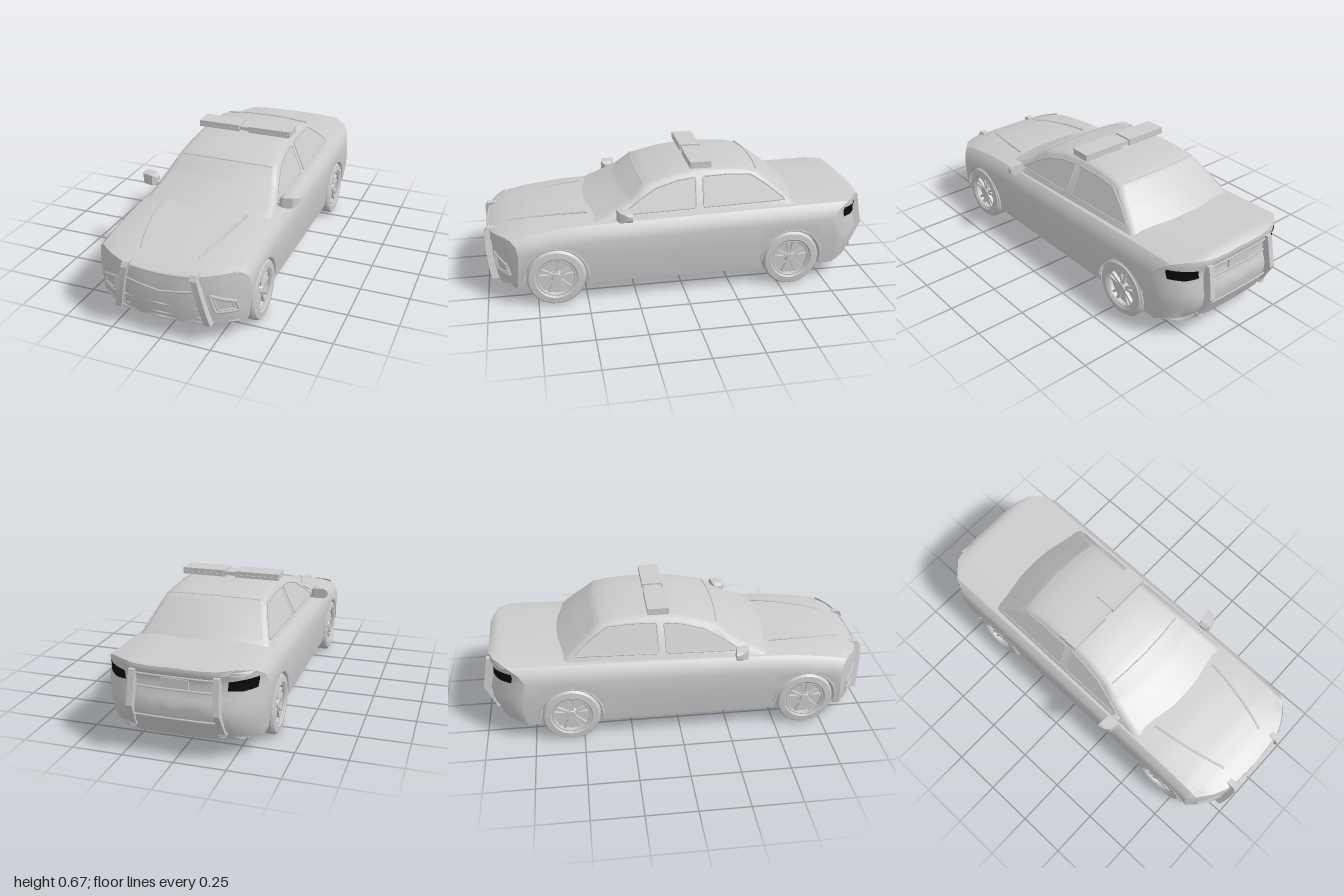
import * as THREE from 'three';
import { toCreasedNormals } from 'three/addons/utils/BufferGeometryUtils.js';

const grey = new THREE.MeshStandardMaterial({ color: 0xcccccc });
const sheetGrey = new THREE.MeshStandardMaterial({ color: 0xcccccc, side: THREE.DoubleSide });
const pale = new THREE.MeshStandardMaterial({ color: 0xf0f0f0, side: THREE.DoubleSide });
const black = new THREE.MeshStandardMaterial({ color: 0x0a0a0a, side: THREE.DoubleSide });

const clamp = (v) => Math.min(1, Math.max(0, v));
// Piecewise linear function through [input, output] pairs
const table = (pts) => (v) => {
  let i = 0;
  while (i < pts.length - 2 && v > pts[i + 1][0]) i++;
  const [a, fa] = pts[i], [b, fb] = pts[i + 1];
  return fa + (fb - fa) * clamp((v - a) / (b - a));
};

// Body profiles: deck height, side width, end faces, roof line
const deckY = table([[-0.975, 0.425], [-0.95, 0.45], [-0.93, 0.458], [-0.6, 0.452], [0.3, 0.432], [0.46, 0.43],
  [0.6, 0.422], [0.78, 0.4], [0.88, 0.378], [0.945, 0.357], [0.985, 0.335]]);
const sideX = table([[0.1, 0.366], [0.2, 0.38], [0.3, 0.385]]);
const tailZ = table([[0.1, -0.92], [0.2, -0.965], [0.27, -0.972], [0.32, -0.953], [0.38, -0.95], [0.42, -0.965], [0.46, -0.96]]);
const frontZ = (x, y) => 0.985 - 0.15 * Math.abs(x / 0.385) ** 3 - 0.01 * ((y - 0.25) / 0.15) ** 2;
const rearZ = (x, y) => tailZ(y) + 0.17 * Math.abs(x / 0.385) ** 5;
const roofY = table([[-0.64, 0.43], [-0.6, 0.465], [-0.52, 0.53], [-0.42, 0.603], [-0.35, 0.62], [-0.25, 0.63],
  [-0.1, 0.634], [0.035, 0.617], [0.205, 0.575], [0.31, 0.505], [0.4, 0.462], [0.5, 0.42]]);
const cabinX = (y) => 0.33 - (y - 0.42) * 0.43;
const cabinZ = (x, z) => z - 0.05 * (x / 0.33) ** 2 * (clamp((z - 0.1) / 0.2) - clamp((-z - 0.3) / 0.2));

const wheelZ = [0.655, -0.56], wheelY = 0.147, archR = 0.158;
const archY = (z) => {
  for (const w of wheelZ) {
    const d = Math.abs(z - w);
    if (d <= archR * 1.0001) return wheelY + Math.sqrt(Math.max(0, archR ** 2 - d ** 2));
  }
  return 0.1;
};

// Skin over closed rings of points, both ends capped
function loft(rings, crease = 0.6) {
  const centre = (r) => r.map(() => [0, 1, 2].map((k) => r.reduce((s, p) => s + p[k], 0) / r.length));
  const all = [centre(rings[0]), ...rings, centre(rings[rings.length - 1])];
  const pos = [], v = (p) => new THREE.Vector3(...p);
  const tri = (a, b, c) => {
    const area = v(b).sub(v(a)).cross(v(c).sub(v(a))).length();
    if (area > 1e-9) pos.push(...a, ...b, ...c);
  };
  for (let i = 0; i < all.length - 1; i++) {
    const n = all[i].length;
    for (let j = 0; j < n; j++) {
      const k = (j + 1) % n;
      tri(all[i][j], all[i][k], all[i + 1][k]);
      tri(all[i][j], all[i + 1][k], all[i + 1][j]);
    }
  }
  const g = new THREE.BufferGeometry();
  g.setAttribute('position', new THREE.Float32BufferAttribute(pos, 3));
  return toCreasedNormals(g, crease);
}
const mirrorRings = (rings) => rings.map((r) => r.map(([x, y, z]) => [-x, y, z]).reverse());
const fullRing = (h) => [...h, ...h.slice(1, -1).reverse().map(([x, y, z]) => [-x, y, z])];

// Thin ruled sheet between two outlines, laid on a surface by place(a, b)
function sheet(lower, upper, place, n = 8) {
  const cols = (lower.length - 1) * n, g = new THREE.PlaneGeometry(1, 1, cols, n), p = g.attributes.position;
  const at = (l, c) => {
    const i = Math.min(Math.floor(c / n), l.length - 2), f = c / n - i;
    return [0, 1].map((k) => l[i][k] + (l[i + 1][k] - l[i][k]) * f);
  };
  for (let r = 0; r <= n; r++) for (let c = 0; c <= cols; c++) {
    const a = at(lower, c), b = at(upper, c), t = 1 - r / n;
    p.setXYZ(r * (cols + 1) + c, ...place(a[0] + (b[0] - a[0]) * t, a[1] + (b[1] - a[1]) * t));
  }
  g.computeVertexNormals();
  return g;
}
// Thin trim strip along straight runs
function strip(pts, r, closed = false) {
  const c = new THREE.CatmullRomCurve3(pts.map((p) => new THREE.Vector3(...p)), closed, 'catmullrom', 0);
  return new THREE.TubeGeometry(c, pts.length * 6, r, 5, closed);
}

// Main body sections, with wheel wells cut into the lower sides
function bodyRing(z) {
  const ya = archY(z);
  const half = (t) => [[0, 0.1], [0.1, 0.1], [0.2, 0.1], [0.29, 0.1], [0.29, ya],
    ...[0, 0.33, 0.66, 1].map((f) => { const y = ya + (t - 0.1 - ya) * f; return [sideX(y), y]; }),
    [0.374, t - 0.055], [0.345, t - 0.024], [0.27, t - 0.008], [0.2, t - 0.003], [0.14, t], [0.07, t], [0, t + 0.002]];
  const bend = (x, y) => {
    if (z > 0.815) return 0.815 + (z - 0.815) / 0.17 * (frontZ(x, y) - 0.815);
    if (z < -0.72) return -0.72 + (z + 0.72) / -0.255 * (rearZ(x, y) + 0.72);
    return z;
  };
  return fullRing(half(0).map((_, i) => {
    let zz = z, p;
    for (let k = 0; k < 8; k++) { p = half(deckY(zz))[i]; zz = bend(p[0], p[1]); }
    return [p[0], p[1], zz];
  }));
}
function bodyGeometry() {
  const arch = [-1.0005, -1, -0.97, -0.88, -0.72, -0.5, -0.25, 0, 0.25, 0.5, 0.72, 0.88, 0.97, 1, 1.0005];
  const zs = [-0.975, -0.955, -0.93, -0.89, -0.84, -0.78, ...arch.map((a) => wheelZ[1] + a * archR), -0.2, 0.1, 0.35,
    ...arch.map((a) => wheelZ[0] + a * archR), 0.83, 0.86, 0.89, 0.92, 0.945, 0.965, 0.985];
  const rings = zs.map(bodyRing), ks = [0.94, 0.88, 0.8, 0.7, 0.6, 0.45, 0.3, 0.15, 0];
  const cap = (ring, f) => ks.map((k) => ring.map(([x, y]) => {
    const a = x * k, b = 0.24 + (y - 0.24) * k;
    return [a, b, f(a, b)];
  }));
  return loft([...cap(rings[0], rearZ).reverse(), ...rings, ...cap(rings[rings.length - 1], frontZ)]);
}
function cabinRing(z) {
  const r = roofY(z), ye = r - 0.022, xe = cabinX(ye), b = Math.min(deckY(z) - 0.05, ye - 0.01);
  const h = [[0, b], [cabinX(b), b], [xe, ye], [xe - 0.012, r - 0.013], [xe - 0.03, r - 0.008], [0.12, r], [0, r + 0.002]];
  return fullRing(h.map(([x, y]) => [x, y, cabinZ(x, z)]));
}

// Wheel facing +x: tyre, recessed rim, five split spokes, hub
function makeWheel() {
  const w = new THREE.Group();
  const prof = [[0, -0.045], [0.135, -0.045], [0.147, -0.032], [0.147, 0.03], [0.138, 0.042], [0.108, 0.045],
    [0.1, 0.04], [0.095, 0.01], [0, 0.01]].map((p) => new THREE.Vector2(...p));
  const put = (name, g) => { const m = new THREE.Mesh(g, grey); m.name = name; w.add(m); };
  put('tyre', toCreasedNormals(new THREE.LatheGeometry(prof, 40).rotateZ(-Math.PI / 2), 0.6));
  put('rimRing', new THREE.TorusGeometry(0.095, 0.006, 6, 40).rotateY(Math.PI / 2).translate(0.034, 0, 0));
  put('hub', new THREE.CylinderGeometry(0.02, 0.032, 0.024, 20).rotateZ(-Math.PI / 2).translate(0.022, 0, 0));
  for (let i = 0; i < 5; i++) for (const s of [-1, 1])
    put('spoke', new THREE.BoxGeometry(0.016, 0.075, 0.013).translate(0.02, 0.058, 0)
      .rotateX(s * 0.2 + i * Math.PI * 0.4));
  return w;
}

export function createModel() {
  const car = new THREE.Group();
  car.name = 'patrolCar';
  const add = (name, g, m = grey) => { const o = new THREE.Mesh(g, m); o.name = name; car.add(o); return o; };
  const box = (name, w, h, d, x, y, z) => add(name, new THREE.BoxGeometry(w, h, d).translate(x, y, z));
  const onFront = (x, y) => [x, y, frontZ(x, y) + 0.004];
  const onRear = (x, y) => [x, y, rearZ(x, y) - 0.004];

  add('body', bodyGeometry());
  const cabinStations = [-0.64, -0.6, -0.56, -0.52, -0.47, -0.42, -0.385, -0.35, -0.3, -0.25, -0.1, 0.035, 0.1, 0.15,
    0.205, 0.25, 0.3, 0.31, 0.35, 0.4, 0.45, 0.5];
  add('cabin', loft(cabinStations.map(cabinRing)));

  // Windscreen and rear window follow the roof line
  const onRoof = (u, z) => {
    const x = u * (cabinX(roofY(z) - 0.022) - 0.03);
    return [x, roofY(z) + 0.005 - 0.008 * u * u, cabinZ(x, z)];
  };
  for (const [name, z0, z1] of [['windscreen', 0.475, 0.21], ['rearWindow', -0.6, -0.41]]) {
    add(name, sheet([[-1, z0], [1, z0]], [[-1, z1], [1, z1]], onRoof, 16), sheetGrey);
    add(name + 'Trim', strip([-1, -0.5, 0, 0.5, 1].map((u) => onRoof(u, z1)), 0.004));
  }

  // Bumper grille: V crease, lower opening, hood edge
  const frontLine = (name, pts, r, closed) => add(name, strip(pts.map(([x, y]) => [x, y, frontZ(x, y)]), r, closed));
  frontLine('grilleCrease', [[-0.17, 0.27], [-0.08, 0.258], [0, 0.246], [0.08, 0.258], [0.17, 0.27]], 0.006);
  frontLine('lowerGrilleFrame', [[-0.19, 0.178], [0, 0.178], [0.19, 0.178], [0.2, 0.13], [0, 0.13], [-0.2, 0.13]], 0.006, true);
  frontLine('hoodEdge', [[-0.15, 0.341], [-0.07, 0.338], [0, 0.336], [0.07, 0.338], [0.15, 0.341]], 0.006);
  frontLine('frontSplitter', [[-0.34, 0.106], [-0.2, 0.106], [0, 0.106], [0.2, 0.106], [0.34, 0.106]], 0.007);

  // Tail panel lines
  for (const y of [0.395, 0.335, 0.2])
    add('tailPanelLine', strip([-0.19, -0.1, 0, 0.1, 0.19].map((x) => onRear(x, y)), 0.005));
  box('plateHolder', 0.13, 0.045, 0.012, 0, 0.365, -0.953);

  for (const s of [1, -1]) {
    // Side windows with trims
    const onSide = (z, y) => [s * (cabinX(y) + 0.003), y, z];
    const panes = [
      [[[0.31, 0.44], [0.22, 0.442], [0.13, 0.443], [0.02, 0.445], [-0.065, 0.447]],
        [[0.305, 0.447], [0.22, 0.503], [0.13, 0.552], [0.02, 0.58], [-0.072, 0.59]]],
      [[[-0.105, 0.448], [-0.25, 0.451], [-0.36, 0.453], [-0.44, 0.455], [-0.535, 0.458]],
        [[-0.11, 0.592], [-0.25, 0.594], [-0.36, 0.587], [-0.44, 0.535], [-0.53, 0.463]]]];
    for (const [lo, up] of panes) {
      add('sideWindow', sheet(lo, up, onSide, 4), sheetGrey);
      add('windowTrim', strip([...lo, ...[...up].reverse()].map((p) => onSide(...p)), 0.004, true));
    }

    // Lamps
    add('headlight', sheet([[0.168, 0.315], [0.185, 0.3], [0.205, 0.3], [0.325, 0.338]].map(([x, y]) => [s * x, y]),
      [[0.17, 0.346], [0.2, 0.35], [0.25, 0.357], [0.333, 0.364]].map(([x, y]) => [s * x, y]), onFront), pale);
    add('tailLight', sheet([[0.24, 0.352], [0.3, 0.345], [0.352, 0.35]].map(([x, y]) => [s * x, y]),
      [[0.245, 0.395], [0.3, 0.4], [0.358, 0.402]].map(([x, y]) => [s * x, y]), onRear), black);
    const fog = [[0.33, 0.215], [0.228, 0.255], [0.252, 0.165], [0.342, 0.165]].map(([x, y]) => [s * x, y]);
    const fogRim = fog.flatMap((p, i) => [p, p.map((v, k) => (v + fog[(i + 1) % 4][k]) / 2)]);
    frontLine('fogLampFrame', fogRim, 0.008, true);
    frontLine('fogLampInnerFrame', fogRim.map(([x, y]) => [s * 0.288 + (x - s * 0.288) * 0.72, 0.2 + (y - 0.2) * 0.72]), 0.005, true);

    // Push bars, front and rear
    const bar = (name, pts, w, span) => add(name, loft(pts.map(([x, y]) => {
      const [a, b] = span(x, y), l = s * x - w, r = s * x + w;
      return [[r * 1, y, b], [r, y, a], [l, y, a], [l, y, b]];
    }), 0.3));
    bar('frontBar', [[0.225, 0.105], [0.212, 0.16], [0.192, 0.25], [0.172, 0.335], [0.167, 0.36]], 0.016,
      (x, y) => [frontZ(x, y) - 0.03, frontZ(x, y) + (y > 0.35 ? 0.015 : 0.028)]);
    bar('rearBar', [[0.215, 0.13], [0.21, 0.19], [0.205, 0.25], [0.2, 0.33], [0.198, 0.415]], 0.014,
      (x, y) => [table([[0.13, -0.935], [0.25, -1], [0.415, -0.972]])(y), rearZ(x, y) + 0.03]);
    add('exhaust', new THREE.CylinderGeometry(0.019, 0.019, 0.07, 16).rotateX(Math.PI / 2).translate(s * 0.215, 0.137, -0.905));

    // Hood ridges
    add('hoodRidge', strip([[0.225, 0.48], [0.21, 0.6], [0.185, 0.72], [0.165, 0.8], [0.14, 0.88]]
      .map(([x, z]) => [s * x, deckY(z) - 0.001, z]), 0.006));

    // Door mirrors
    const head = [[0.335, 0.436, 0.468, 0.295, 0.325], [0.355, 0.428, 0.482, 0.28, 0.345], [0.405, 0.43, 0.484, 0.275, 0.335],
      [0.422, 0.438, 0.478, 0.272, 0.31], [0.43, 0.45, 0.468, 0.272, 0.288]]
      .map(([x, y0, y1, z0, z1]) => [[x, y0, z0], [x, y1, z0], [x, y1, z1], [x, y0, z1]]);
    add('mirrorHead', loft(s > 0 ? head : mirrorRings(head), 0.5));
    box('mirrorArm', 0.04, 0.02, 0.03, s * 0.335, 0.434, 0.31);

    // Wheels and arch lips
    for (const z of wheelZ) {
      const w = makeWheel();
      w.name = z > 0 ? 'frontWheel' : 'rearWheel';
      w.position.set(s * 0.34, wheelY, z);
      if (s < 0) w.rotation.y = Math.PI;
      car.add(w);
      add('archLip', new THREE.TorusGeometry(archR + 0.002, 0.007, 6, 32, Math.PI).rotateY(Math.PI / 2)
        .translate(s * 0.379, wheelY, z));
    }

    // Roof light bar halves
    box('lightBarBase', 0.23, 0.014, 0.108, s * 0.141, 0.641, -0.1);
    box('lightBarLens', 0.23, 0.018, 0.108, s * 0.141, 0.658, -0.1);
    box('lightBarFoot', 0.03, 0.03, 0.05, s * 0.17, 0.628, -0.1);
  }
  box('lightBarBridge', 0.07, 0.018, 0.09, 0, 0.65, -0.1);
  box('lightBarMount', 0.03, 0.025, 0.06, 0, 0.635, -0.1);
  return car;
}
